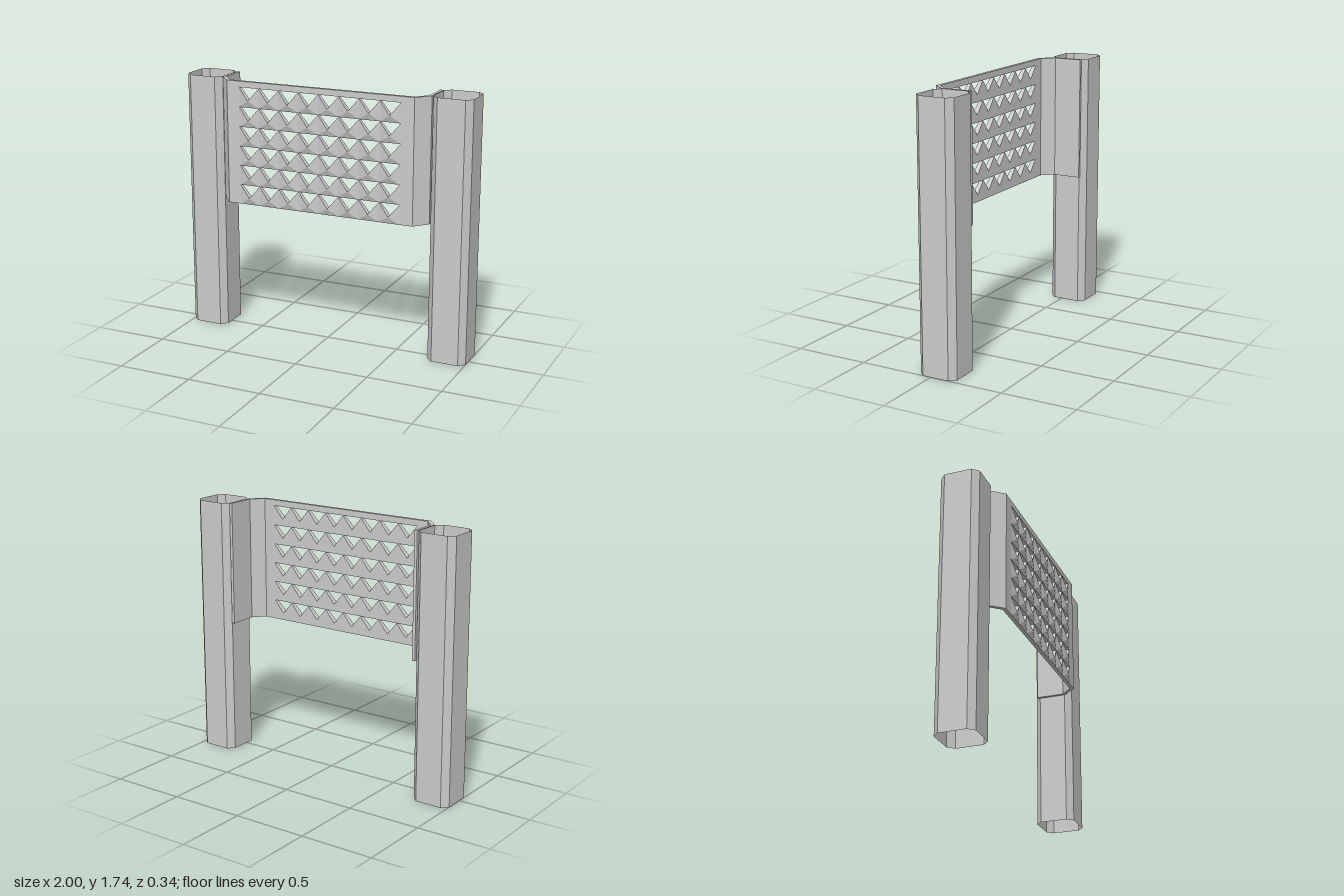
import * as THREE from 'three';

const HEIGHT = 1.74, BOTTOM = 0.915;   // panel top and bottom
const FRONT = 0.153, BACK = 0.128;     // panel faces in z
const HALF = 0.565;                    // half width of the perforated field
const ROWS = 6, COLS = 8, FIELD_TOP = 1.7, HOLE = 0.085, BULGE = 0.016;

const material = new THREE.MeshStandardMaterial({ color: 0xcccccc, flatShading: true, side: THREE.DoubleSide });

function add(parent, name, geometry) {
  const mesh = new THREE.Mesh(geometry, material);
  mesh.name = name;
  parent.add(mesh);
  return mesh;
}

// Hollow square post with chamfered corners, open at both ends
function postGeometry() {
  const a = 0.131, b = 0.091;
  const corners = [[-b, a], [b, a], [a, b], [a, -b], [b, -a], [-b, -a], [-a, -b], [-a, b]];
  const geometry = new THREE.CylinderGeometry(1, 1, HEIGHT, 8, 1, true);
  const pos = geometry.attributes.position;
  for (let i = 0; i < pos.count; i++) {
    const [x, z] = corners[(i % 9) % 8];
    pos.setX(i, x);
    pos.setZ(i, z);
  }
  geometry.computeVertexNormals();
  return geometry;
}

// Folded end of the panel, extruded upward from its plan outline
function wingGeometry(side) {
  const plan = [[HALF, FRONT], [0.653, FRONT], [0.732, 0.062], [0.732, -0.137],
    [0.712, -0.137], [0.712, 0.052], [0.643, BACK], [HALF, BACK]];
  const shape = new THREE.Shape(plan.map(([x, z]) => new THREE.Vector2(side * x, -z)));
  const geometry = new THREE.ExtrudeGeometry(shape, { depth: HEIGHT - BOTTOM, bevelEnabled: false });
  return geometry.rotateX(-Math.PI / 2).translate(0, BOTTOM, 0);
}

// One toothed strip: straight lower edge, zigzag upper edge, notches pushed forward
function stripGeometry(top, bottom) {
  const points = [];
  const tri = (...p) => p.forEach((v) => points.push(...v));
  const quad = (a, b, c, d) => { tri(a, b, c); tri(a, c, d); };
  const back = (p) => [p[0], p[1], BACK];
  const step = (2 * HALF) / COLS;
  for (let i = 0; i < COLS; i++) {
    const x0 = -HALF + i * step, x1 = x0 + step;
    const t0 = [x0, top, FRONT], t1 = [x1, top, FRONT];
    const b0 = [x0, bottom, FRONT], b1 = [x1, bottom, FRONT];
    const v = [(x0 + x1) / 2, top - HOLE, FRONT + BULGE];
    for (const [p, q, r] of [[t0, b0, v], [v, b0, b1], [v, b1, t1]]) {
      tri(p, q, r);
      tri(back(p), back(r), back(q));
    }
    // tooth edges and underside
    quad(t0, v, back(v), back(t0));
    quad(v, t1, back(t1), back(v));
    quad(b0, back(b0), back(b1), b1);
  }
  const geometry = new THREE.BufferGeometry();
  geometry.setAttribute('position', new THREE.Float32BufferAttribute(points, 3));
  geometry.computeVertexNormals();
  return geometry;
}

export function createModel() {
  const model = new THREE.Group();
  model.name = 'panelBetweenPosts';

  const panel = new THREE.Group();
  panel.name = 'perforatedPanel';
  model.add(panel);

  for (const [side, label] of [[1, 'left'], [-1, 'right']]) {
    add(model, label + 'Post', postGeometry()).position.set(side * 0.869, HEIGHT / 2, -0.036);
    add(panel, label + 'PanelWing', wingGeometry(side));
  }

  // Plain rail above the holes
  add(panel, 'topRail', new THREE.BoxGeometry(2 * HALF, HEIGHT - FIELD_TOP, FRONT - BACK))
    .position.set(0, (HEIGHT + FIELD_TOP) / 2, (FRONT + BACK) / 2);

  // Stacked toothed strips
  const pitch = (FIELD_TOP - BOTTOM) / ROWS;
  for (let r = 0; r < ROWS; r++) {
    const top = FIELD_TOP - r * pitch;
    add(panel, 'toothedStrip' + (r + 1), stripGeometry(top, top - pitch));
  }
  return model;
}
